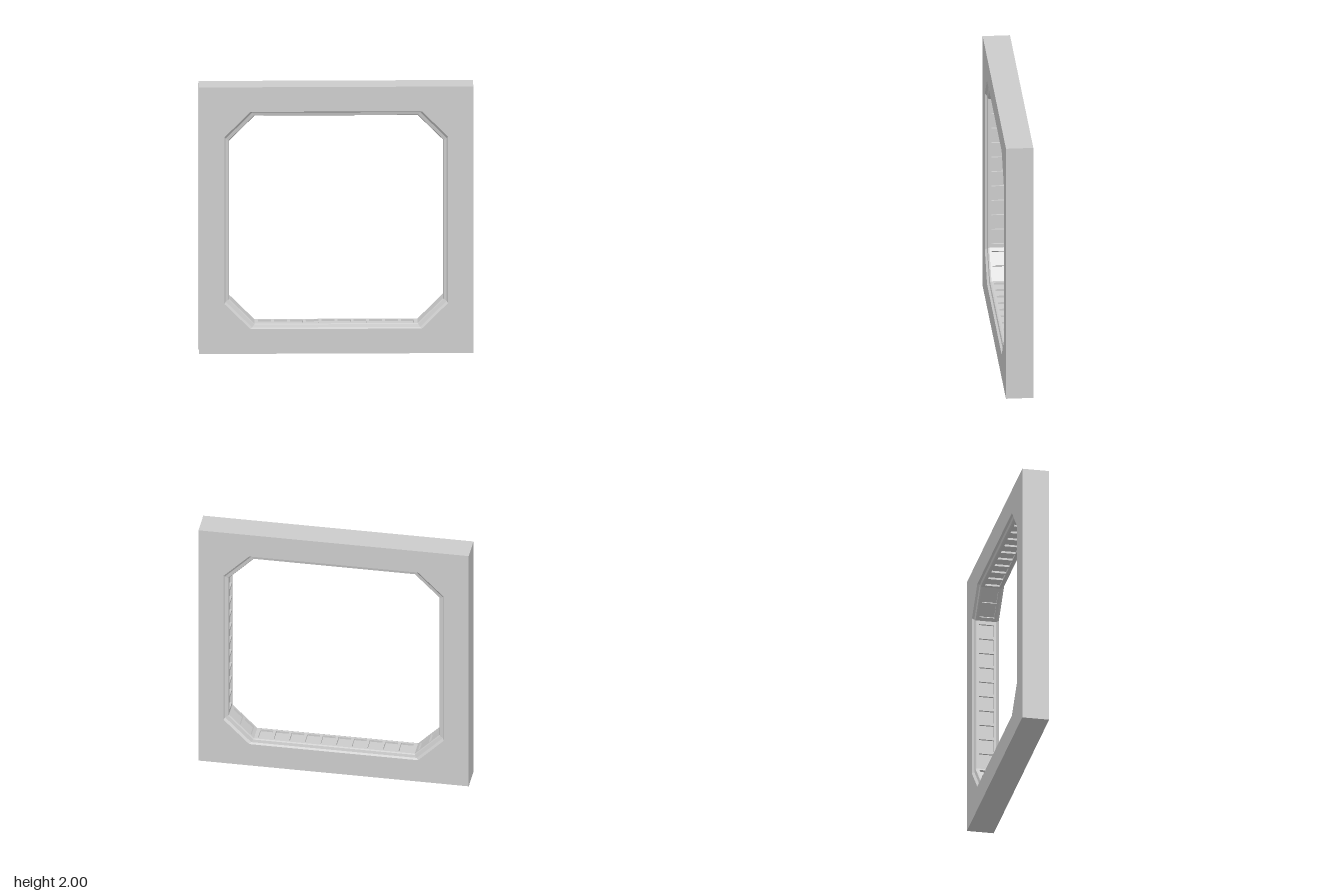
import * as THREE from 'three';

const MITRE = Math.tan(Math.PI / 8);
const INNER = 0.78, CORNER = 0.595, RECESS = 0.015, HALF = 0.07;
const mat = new THREE.MeshStandardMaterial({ color: 0xcccccc, flatShading: true });

// Twelve points round the frame: flat sides at distance a, ending at c, with m the corner midpoint
function ring(a, c, m, z) {
  const pts = [];
  for (let q = 0; q < 4; q++) {
    const cos = Math.round(Math.cos(q * Math.PI / 2)), sin = Math.round(Math.sin(q * Math.PI / 2));
    for (const [x, y] of [[a, c], [m, m], [c, a]])
      pts.push([x * cos - y * sin, x * sin + y * cos + 1, z]);
  }
  return pts;
}
const octagon = (a, c, z) => ring(a, c, (a + c) / 2, z);

// Closed loft through the rings
function loft(rings) {
  const pos = [];
  rings.forEach((r, i) => {
    const s = rings[(i + 1) % rings.length];
    for (let j = 0; j < 12; j++) {
      const k = (j + 1) % 12;
      pos.push(...r[j], ...r[k], ...s[k], ...r[j], ...s[k], ...s[j]);
    }
  });
  const g = new THREE.BufferGeometry();
  g.setAttribute('position', new THREE.Float32BufferAttribute(pos, 3));
  g.computeVertexNormals();
  return g;
}

// Raised grid of ribs around a row of recessed panels, with mitred ends
function ribGeometry(length, count) {
  const h = length / 2, end = 0.028, bar = 0.022, w = 0.055;
  const shape = new THREE.Shape([[-h, -HALF], [h, -HALF], [h, HALF], [-h, HALF]].map(p => new THREE.Vector2(...p)));
  const size = (length - 2 * end - (count - 1) * bar) / count;
  for (let i = 0; i < count; i++) {
    const x0 = -h + end + i * (size + bar), x1 = x0 + size;
    shape.holes.push(new THREE.Path([[x0, -w], [x0, w], [x1, w], [x1, -w]].map(p => new THREE.Vector2(...p))));
  }
  const g = new THREE.ExtrudeGeometry(shape, { depth: RECESS, bevelEnabled: false });
  const p = g.attributes.position;
  for (let i = 0; i < p.count; i++) {
    if (Math.abs(p.getX(i)) > h - 1e-4)
      p.setX(i, Math.sign(p.getX(i)) * (h + (RECESS - p.getZ(i)) * MITRE));
  }
  g.computeVertexNormals();
  return g;
}

export function createModel() {
  const group = new THREE.Group();

  // Square frame with a stepped, bevelled octagonal opening, the same front and back
  const floor = INNER + RECESS;
  const half = s => [
    ring(1, CORNER, 1, 0.1 * s),
    octagon(0.815, 0.625, 0.1 * s),
    octagon(0.806, 0.612, 0.085 * s),
    octagon(0.785, 0.598, 0.08 * s),
    octagon(INNER, CORNER, HALF * s),
    octagon(floor, CORNER + RECESS * MITRE, HALF * s),
  ];
  const frame = new THREE.Mesh(loft([...half(1), ...half(-1).reverse()]), mat);
  frame.name = 'frame';
  group.add(frame);

  // Panel ribs lining the eight sides of the opening
  const straight = ribGeometry(2 * CORNER, 10);
  const diagonal = ribGeometry((INNER - CORNER) * Math.SQRT2, 2);
  for (let i = 0; i < 8; i++) {
    const slanted = i % 2 === 1, t = i * Math.PI / 4;
    const n = new THREE.Vector3(Math.cos(t), Math.sin(t), 0);
    const ribs = new THREE.Mesh(slanted ? diagonal : straight, mat);
    ribs.name = slanted ? 'cornerPanelRibs' : 'sidePanelRibs';
    ribs.quaternion.setFromRotationMatrix(new THREE.Matrix4().makeBasis(
      new THREE.Vector3(n.y, -n.x, 0), new THREE.Vector3(0, 0, 1), n.clone().negate()));
    const dist = (slanted ? (INNER + CORNER) / Math.SQRT2 : INNER) + RECESS;
    ribs.position.copy(n).multiplyScalar(dist);
    ribs.position.y += 1;
    group.add(ribs);
  }
  return group;
}
